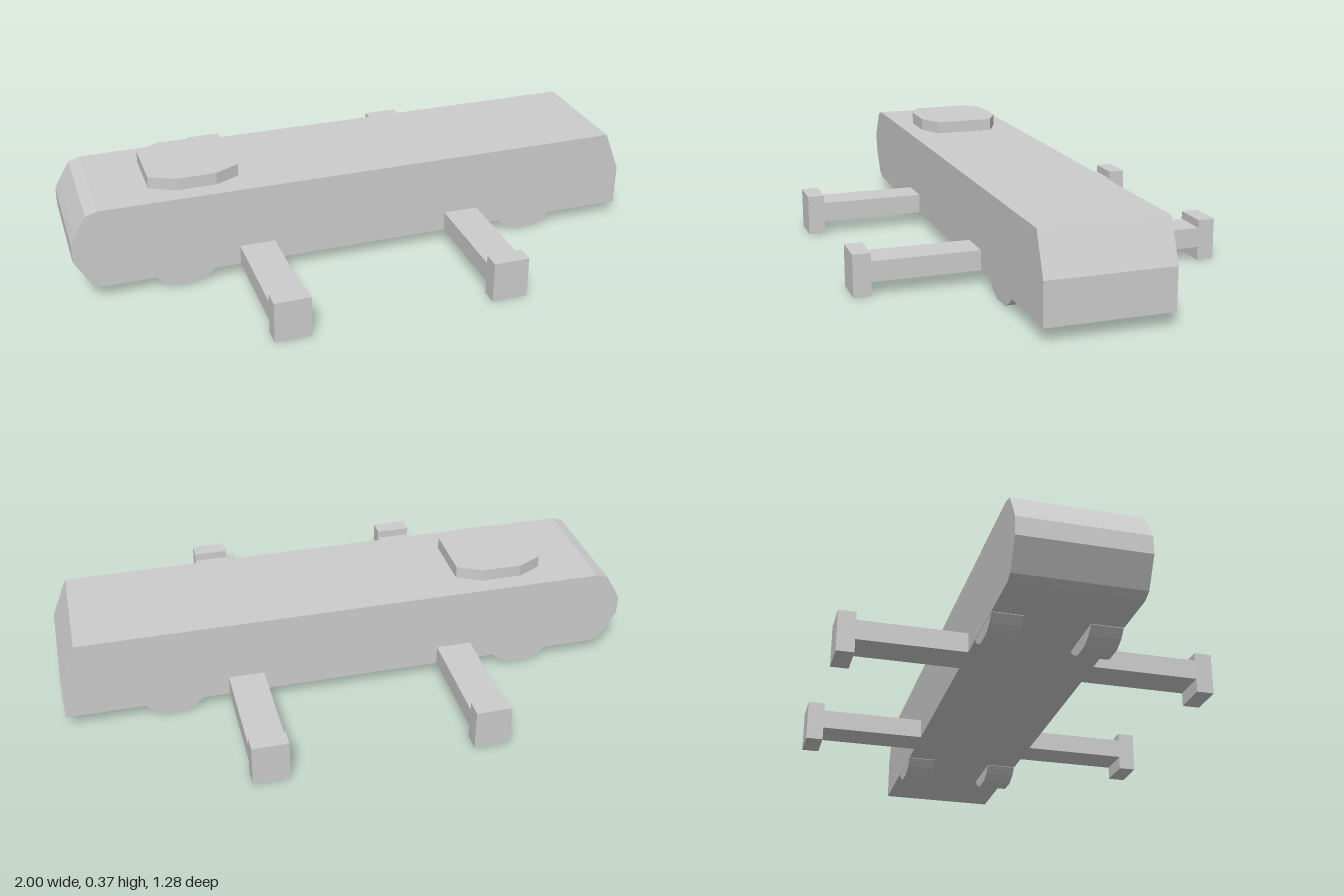
import * as THREE from 'three';

const material = new THREE.MeshStandardMaterial({ color: 0xcccccc, flatShading: true });

// Side profile in x/y, extruded across z from z0 to z1
function extrude(points, z0, z1) {
  const shape = new THREE.Shape(points.map(([x, y]) => new THREE.Vector2(x, y)));
  const geometry = new THREE.ExtrudeGeometry(shape, { depth: z1 - z0, bevelEnabled: false });
  return geometry.translate(0, 0, z0);
}

function box(x0, x1, y0, y1, z0, z1) {
  return new THREE.BoxGeometry(x1 - x0, y1 - y0, z1 - z0)
    .translate((x0 + x1) / 2, (y0 + y1) / 2, (z0 + z1) / 2);
}

export function createModel() {
  const model = new THREE.Group();
  model.name = 'vehicle';

  function add(name, geometry, parent = model) {
    const mesh = new THREE.Mesh(geometry, material);
    mesh.name = name;
    parent.add(mesh);
    return mesh;
  }

  // Long body: faceted round end at -x, sloped end at +x
  add('body', extrude([
    [-0.91, 0.047], [1, 0.047], [1, 0.19], [0.943, 0.33], [-0.905, 0.33],
    [-0.945, 0.317], [-0.985, 0.25], [-1, 0.22], [-1, 0.157], [-0.945, 0.062],
  ], -0.213, 0.213));

  // Eight-sided roof plate
  const plate = extrude([
    [-0.72, -0.105], [-0.635, -0.148], [-0.495, -0.148], [-0.41, -0.105],
    [-0.41, 0.105], [-0.495, 0.148], [-0.635, 0.148], [-0.72, 0.105],
  ], 0.32, 0.373);
  add('roofPlate', plate.rotateX(-Math.PI / 2));

  // Wheels showing below the body
  const wheelProfile = [
    [-0.105, 0.06], [-0.1, 0.045], [-0.075, 0.02], [-0.035, 0.002],
    [0.035, 0.002], [0.075, 0.02], [0.1, 0.045], [0.105, 0.06],
  ];
  for (const x of [-0.63, 0.63]) {
    for (const [z0, z1] of [[0.105, 0.212], [-0.212, -0.11]]) {
      add('wheel', extrude(wheelProfile, z0, z1)).position.x = x;
    }
  }

  // Outriggers: a beam with an upright foot at its end
  for (const x of [-0.377, 0.375]) {
    for (const side of [1, -1]) {
      const outrigger = new THREE.Group();
      outrigger.name = 'outrigger';
      outrigger.position.x = x;
      if (side < 0) outrigger.rotation.y = Math.PI;
      add('beam', box(-0.062, 0.062, 0.047, 0.116, 0.2, 0.59), outrigger);
      add('foot', box(-0.062, 0.062, 0, 0.144, 0.58, 0.64), outrigger);
      model.add(outrigger);
    }
  }
  return model;
}
